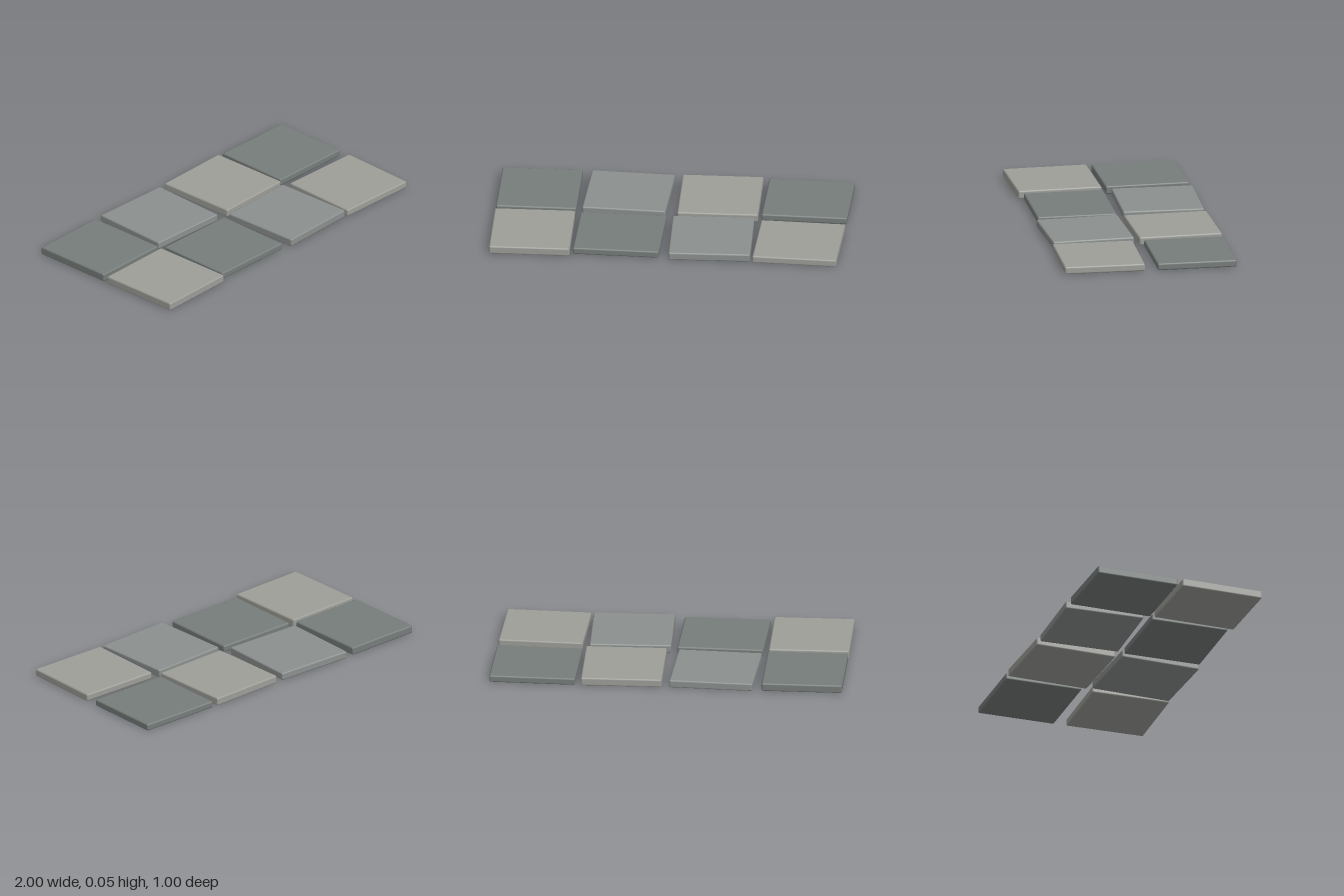
import * as THREE from 'three';
import { RoundedBoxGeometry } from 'three/addons/geometries/RoundedBoxGeometry.js';

const stone = (color) => new THREE.MeshStandardMaterial({ color });

export function createModel() {
  const group = new THREE.Group();
  group.name = 'pavingSlabs';
  const dark = stone(0x767d7a), mid = stone(0x8b908e), warm = stone(0x9d9e98);

  // Slabs: centre x, centre z, width, depth, height, turn about y, stone
  const slabs = [
    // back row
    [-0.77, -0.255, 0.455, 0.48, 0.047, 0.012, dark],
    [-0.265, -0.267, 0.473, 0.463, 0.045, -0.032, mid],
    [0.255, -0.262, 0.457, 0.476, 0.047, 0.023, warm],
    [0.752, -0.275, 0.486, 0.453, 0.04, -0.01, dark],
    // front row
    [-0.765, 0.25, 0.455, 0.48, 0.047, 0.02, warm],
    [-0.27, 0.234, 0.487, 0.453, 0.04, -0.01, dark],
    [0.25, 0.239, 0.462, 0.468, 0.046, 0.036, mid],
    [0.746, 0.249, 0.477, 0.458, 0.042, -0.024, warm],
  ];

  slabs.forEach(([x, z, w, d, h, turn, material], i) => {
    // one-step rounding gives every slab a narrow chamfer
    const slab = new THREE.Mesh(new RoundedBoxGeometry(w, h, d, 1, 0.009), material);
    slab.name = `${i < 4 ? 'back' : 'front'}Slab${(i % 4) + 1}`;
    slab.position.set(x, h / 2, z);
    slab.rotation.y = turn;
    group.add(slab);
  });
  return group;
}
